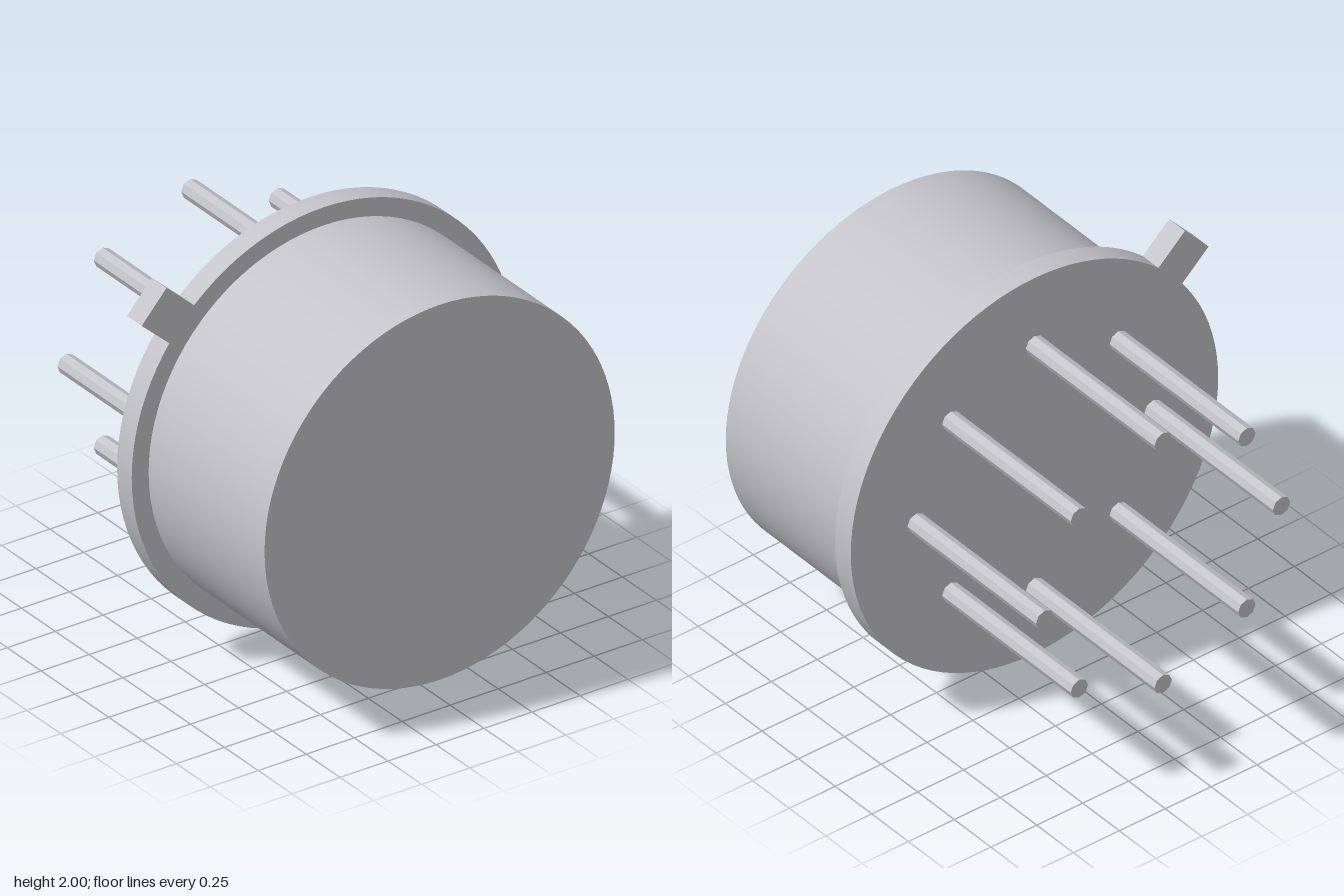
import * as THREE from 'three';

export function createModel() {
  const model = new THREE.Group();
  model.name = 'metalCan';
  const metal = new THREE.MeshStandardMaterial({ color: 0xc5c4ca });
  metal.name = 'silver metal';
  const pinMetal = metal.clone();
  pinMetal.flatShading = true;

  // Cylinder lying along z between two depths
  const rod = (name, radius, z0, z1, sides, x, y, material) => {
    const geometry = new THREE.CylinderGeometry(radius, radius, z1 - z0, sides);
    geometry.rotateX(Math.PI / 2);
    const mesh = new THREE.Mesh(geometry, material);
    mesh.position.set(x, y, (z0 + z1) / 2);
    mesh.name = name;
    model.add(mesh);
  };

  const centreY = 1;
  const backZ = -0.043, flangeZ = 0.065, endZ = 0.922;

  // Can and its base flange
  rod('canBody', 0.912, flangeZ, endZ, 96, 0, centreY, metal);
  rod('baseFlange', 1, backZ, flangeZ, 96, 0, centreY, metal);

  // Orientation tab, pointing outward from the flange rim
  const inner = 0.985, outer = 1.189, angle = THREE.MathUtils.degToRad(138);
  const tab = new THREE.Mesh(
    new THREE.BoxGeometry(outer - inner, 0.193, flangeZ - backZ), metal);
  const middle = (inner + outer) / 2;
  tab.position.set(Math.cos(angle) * middle, centreY + Math.sin(angle) * middle, (backZ + flangeZ) / 2);
  tab.rotation.z = angle;
  tab.name = 'orientationTab';
  model.add(tab);

  // Ring of eight leads out of the back
  for (let i = 0; i < 8; i++) {
    const a = i * Math.PI / 4;
    rod('lead' + (i + 1), 0.047, -endZ, backZ, 8,
      Math.cos(a) * 0.645, centreY + Math.sin(a) * 0.645, pinMetal);
  }
  return model;
}
